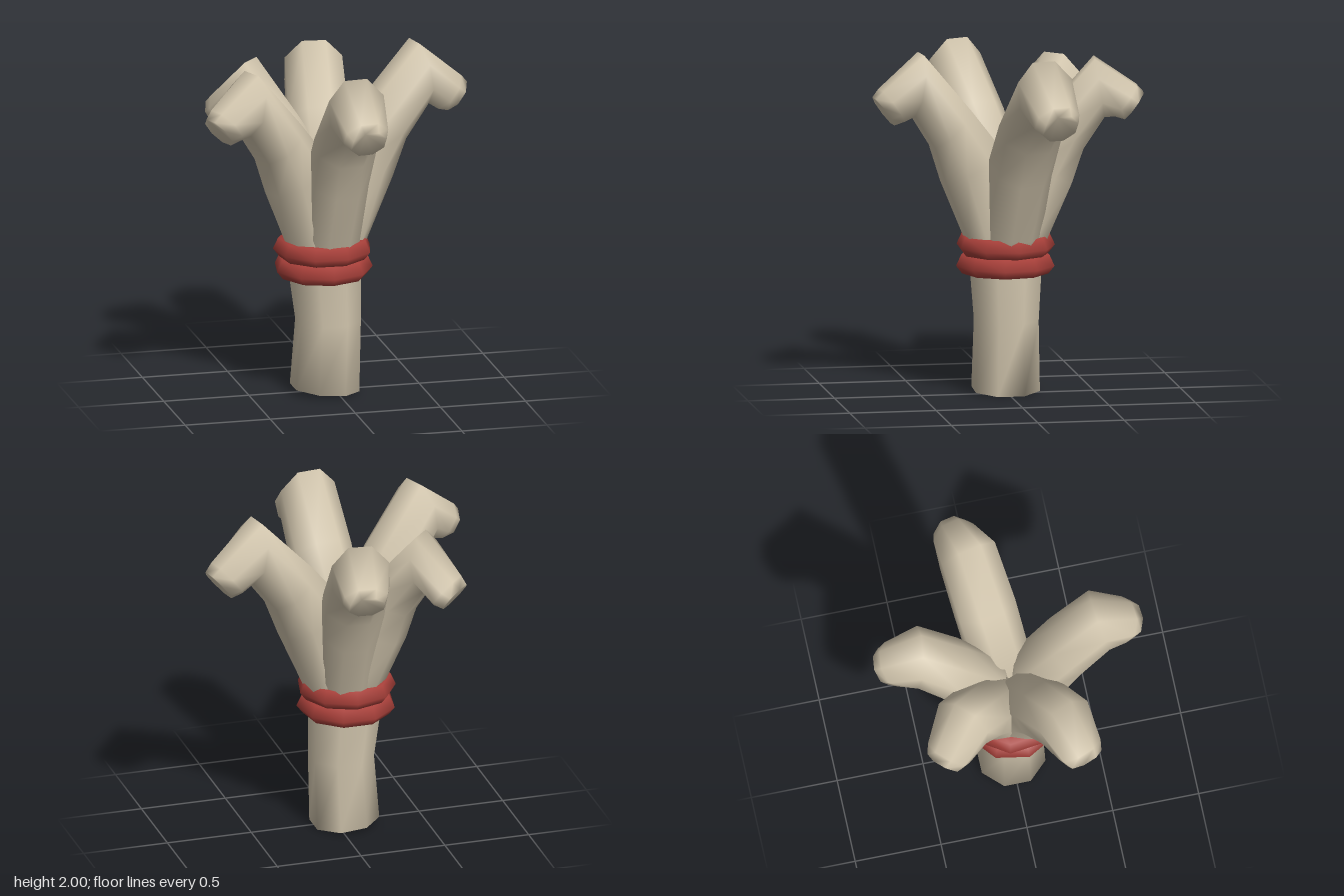
import * as THREE from 'three';

const SIDES = 8;
const GROW = 1 / Math.cos(Math.PI / SIDES); // flats of each octagon touch the wanted size

// Octagonal ring round a centre, spanned by two half axes
function ring(c, u, v) {
  return Array.from({ length: SIDES }, (_, j) => {
    const a = ((j + 0.5) / SIDES) * Math.PI * 2;
    return c.clone().addScaledVector(u, Math.cos(a) * GROW).addScaledVector(v, Math.sin(a) * GROW);
  });
}

// Closed skin through the rings, smooth over the ends too
function loft(rings) {
  const pos = rings.flat().flatMap(p => [p.x, p.y, p.z]);
  const idx = [];
  const last = (rings.length - 1) * SIDES;
  for (let a = 0; a < last; a += SIDES) {
    for (let j = 0; j < SIDES; j++) {
      const k = (j + 1) % SIDES, b = a + SIDES;
      idx.push(a + j, a + k, b + k, a + j, b + k, b + j);
    }
  }
  for (let j = 1; j < SIDES - 1; j++) {
    idx.push(0, j + 1, j, last, last + j, last + j + 1);
  }
  const g = new THREE.BufferGeometry();
  g.setAttribute('position', new THREE.Float32BufferAttribute(pos, 3));
  g.setIndex(idx);
  g.computeVertexNormals();
  return g;
}

// Arm sections: inner radius and height, outer radius and height, half width
const ARM = [
  [-0.02, 0.78, 0.19, 0.78, 0.13],
  [-0.02, 0.95, 0.235, 0.90, 0.15],
  [0.03, 1.40, 0.375, 1.23, 0.165],
  [0.23, 1.65, 0.445, 1.44, 0.172],
  [0.515, 1.98, 0.57, 1.63, 0.165],
  [0.76, 1.78, 0.63, 1.60, 0.125],
  [0.80, 1.735, 0.69, 1.58, 0.10],
];

// Reach and lift grow along the arm; droop lowers only the hooked end
function armGeometry(reach, lift, droop) {
  return loft(ARM.map(([ri, yi, ro, yo, w], i) => {
    const s = 1 + (reach / 0.8 - 1) * Math.min(1, i / 4);
    const move = (r, y) => new THREE.Vector3(
      r * s, y + (lift * (y - 0.78)) / 1.2 - (i > 4 ? droop : 0), 0);
    const a = move(ri, yi), b = move(ro, yo);
    const c = a.clone().add(b).multiplyScalar(0.5);
    return ring(c, a.sub(b).multiplyScalar(0.5), new THREE.Vector3(0, 0, w));
  }));
}

export function createModel() {
  const model = new THREE.Group();
  model.name = 'tiedBranch';
  const wood = new THREE.MeshStandardMaterial({ color: 0xd1c5ad });
  wood.name = 'paleWood';
  const red = new THREE.MeshStandardMaterial({ color: 0xa63f39 });
  red.name = 'redCord';
  const part = (name, geometry, material) => {
    const m = new THREE.Mesh(geometry, material);
    m.name = name;
    model.add(m);
    return m;
  };

  // Trunk: slightly bent, with a slanted foot
  const trunk = [
    [-0.055, 0.018, 0.185, -0.016],
    [-0.035, 0.42, 0.175, 0],
    [-0.055, 0.70, 0.193, 0],
    [-0.055, 0.90, 0.19, 0],
  ];
  part('trunk', loft(trunk.map(([x, y, r, slant]) => ring(
    new THREE.Vector3(x, y, 0),
    new THREE.Vector3(r, slant, 0),
    new THREE.Vector3(0, 0, -r),
  ))), wood);

  // Five hooked arms: tip x, tip z, extra height, droop of the end
  const arms = [
    ['leftArm', 0.81, -0.19, 0.02, 0.02],
    ['backArm', 0.04, -0.78, -0.05, -0.03],
    ['backRightArm', -0.60, -0.53, -0.09, 0.05],
    ['rightArm', -0.80, 0.305, -0.01, -0.01],
    ['frontArm', 0.03, 0.775, 0, 0],
  ];
  for (const [name, x, z, lift, droop] of arms) {
    const dx = x + 0.05;
    const arm = part(name, armGeometry(Math.hypot(dx, z), lift, droop), wood);
    arm.position.x = -0.05;
    arm.rotation.y = Math.atan2(-z, dx);
  }

  // Two cord bands round the neck
  const profile = [[0.17, 0], [0.25, 0], [0.285, 0.045], [0.255, 0.11], [0.17, 0.11]]
    .map(([r, y]) => new THREE.Vector2(r, y));
  [['lowerBand', 0.69, 0], ['upperBand', 0.80, 0.3]].forEach(([name, y, turn]) => {
    const band = part(name, new THREE.LatheGeometry(profile, 9), red);
    band.position.set(-0.065, y, 0);
    band.rotation.y = turn;
  });

  return model;
}
